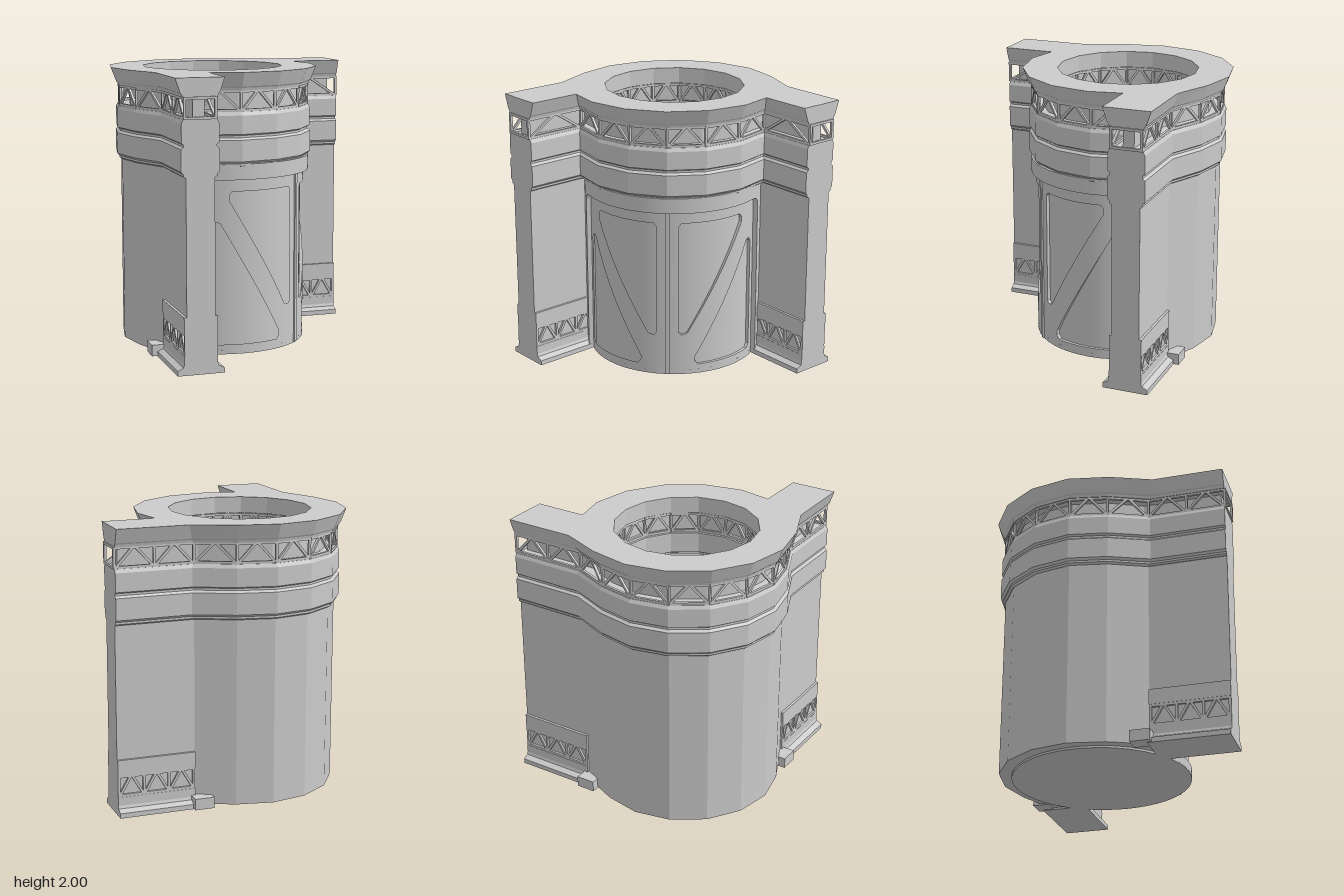
import * as THREE from 'three';
import { mergeGeometries } from 'three/addons/utils/BufferGeometryUtils.js';

const flat = new THREE.MeshStandardMaterial({ color: 0xcccccc, flatShading: true, side: THREE.DoubleSide });
const smooth = new THREE.MeshStandardMaterial({ color: 0xcccccc });
const C = -0.165;      // tower centre on x and z
const D = -0.135;      // door cylinder centre on x and z
const DOOR_R = 0.63;
const ARM = 0.41;      // distance from tower centre to arm centre line
const rad = THREE.MathUtils.degToRad;

function add(parent, geometry, name, material = flat) {
  const mesh = new THREE.Mesh(geometry, material);
  mesh.name = name;
  parent.add(mesh);
  return mesh;
}

const polar = (r, deg, c = C) => [c + r * Math.cos(rad(deg)), c + r * Math.sin(rad(deg))];

// Plan of the tower with its two arms, grown by an offset; front is the stretch facing the door
function outline(off, front) {
  const R = 0.68 + 1.1 * off, h = 0.1 + off;
  const E = (off < -0.03 ? 0.88 : 0.92);
  const inn = C - ARM + h, out = C - ARM - h;
  const kink = C + 0.448 + 0.77 * h;
  const q = C + R - 0.199 * (ARM - h);
  if (!front) {
    front = [[q, inn]];
    for (let k = 0; k <= 4; k++) front.push(polar(R, k * 22.5));
    front.push([inn, q]);
  }
  const back = [];
  for (let k = 7; k <= 13; k++) back.push(polar(R, k * 22.5));
  return [[E, inn], ...front, [inn, E], [out, E], [out, kink], ...back, [kink, out], [E, out]];
}

const planShape = pts => new THREE.Shape(pts.map(([x, z]) => new THREE.Vector2(x, -z)));

// Skin through the plan at each [height, offset]
function loft(profile) {
  const rings = profile.map(([y, off]) => outline(off).map(([x, z]) => [x, y, z]));
  const pos = [];
  for (let j = 0; j < rings.length - 1; j++) {
    const a = rings[j], b = rings[j + 1], n = a.length;
    for (let i = 0; i < n; i++) {
      const k = (i + 1) % n;
      pos.push(...a[i], ...b[i], ...a[k], ...b[i], ...b[k], ...a[k]);
    }
  }
  const g = new THREE.BufferGeometry();
  g.setAttribute('position', new THREE.Float32BufferAttribute(pos, 3));
  g.computeVertexNormals();
  return g;
}

// Flat ring closing the crown at one height
function cap(off, y, holeR) {
  const s = planShape(outline(off));
  const ring = [];
  for (let k = 0; k < 16; k++) ring.push(polar(holeR, k * 22.5));
  s.holes.push(planShape(ring));
  return new THREE.ShapeGeometry(s).rotateX(-Math.PI / 2).translate(0, y, 0);
}

function bar(p, q, t) {
  const o = new THREE.Object3D();
  o.position.copy(p).add(q).multiplyScalar(0.5);
  o.lookAt(q);
  o.updateMatrix();
  return new THREE.BoxGeometry(t, t, p.distanceTo(q)).applyMatrix4(o.matrix);
}

// Lattice along a plan path: posts, and pairs of diagonals in each cell
function truss(path, y0, y1, cell, closed, t = 0.018) {
  const parts = [], n = path.length;
  for (let i = 0; i < (closed ? n : n - 1); i++) {
    const [ax, az] = path[i], [bx, bz] = path[(i + 1) % n];
    const at = (f, y) => new THREE.Vector3(ax + (bx - ax) * f, y, az + (bz - az) * f);
    const cells = Math.floor(Math.hypot(bx - ax, bz - az) / cell);
    parts.push(bar(at(0, y0), at(0, y1), t));
    for (const y of [y0 + t / 2, y1 - t / 2]) parts.push(bar(at(0, y), at(1, y), t));
    for (let k = 0; k < cells; k++) {
      const f0 = k / cells, fm = (k + 0.5) / cells, f1 = (k + 1) / cells;
      parts.push(bar(at(f0, y0), at(fm, y1), t), bar(at(fm, y1), at(f1, y0), t));
      parts.push(bar(at(f1, y0), at(f1, y1), t));
    }
  }
  return mergeGeometries(parts);
}

// Extrude a flat shape and bend it round the door cylinder, splitting wide triangles first
function wrap(shape, r0, r1) {
  const src = new THREE.ExtrudeGeometry(shape, { depth: r1 - r0, bevelEnabled: false, curveSegments: 5 });
  const p = src.attributes.position, pos = [], nor = [];
  const emit = (tri, n) => {
    for (const v of tri) {
      const a = Math.PI / 4 - v.x / DOOR_R, c = Math.cos(a), s = Math.sin(a), r = r0 + v.z;
      pos.push(D + r * c, v.y, D + r * s);
      nor.push(n.z * c + n.x * s, n.y, n.z * s - n.x * c);
    }
  };
  const split = (a, b, c, n) => {
    const w = [Math.abs(a.x - b.x), Math.abs(b.x - c.x), Math.abs(c.x - a.x)];
    const m = Math.max(...w);
    if (m < 0.09) return emit([a, b, c], n);
    if (w[1] === m) [a, b, c] = [b, c, a];
    else if (w[2] === m) [a, b, c] = [c, a, b];
    const mid = a.clone().add(b).multiplyScalar(0.5);
    split(a, mid, c, n);
    split(mid, b, c, n);
  };
  for (let i = 0; i < p.count; i += 3) {
    const [a, b, c] = [0, 1, 2].map(k => new THREE.Vector3().fromBufferAttribute(p, i + k));
    split(a, b, c, new THREE.Triangle(a, b, c).getNormal(new THREE.Vector3()));
  }
  const g = new THREE.BufferGeometry();
  g.setAttribute('position', new THREE.Float32BufferAttribute(pos, 3));
  g.setAttribute('normal', new THREE.Float32BufferAttribute(nor, 3));
  return g;
}

const poly = (pts, sx = 1) => new THREE.Shape(pts.map(([x, y]) => new THREE.Vector2(x * sx, y)));

// Plinth, rails and lattice at the foot of one arm, built along +x
function armBase(side) {
  const g = new THREE.Group();
  g.name = 'armBase';
  const half = [[0.165, 0], [0.165, 0.035], [0.125, 0.055], [0.118, 0.075]];
  const section = poly([...half, ...half.map(([x, y]) => [-x, y]).reverse()]);
  const run = (geo, name) => add(g, geo, name);
  run(new THREE.ExtrudeGeometry(section, { depth: 0.56, bevelEnabled: false })
    .rotateY(Math.PI / 2).translate(0.36, 0, 0), 'plinth');
  for (const [y0, y1] of [[0.07, 0.135], [0.29, 0.4]])
    run(new THREE.BoxGeometry(0.56, y1 - y0, 0.236).translate(0.64, (y0 + y1) / 2, 0), 'baseRail');
  for (const s of [-1, 1])
    run(truss([[0.37, s * 0.107], [0.911, s * 0.107]], 0.135, 0.29, 0.18, false), 'baseLattice');
  run(new THREE.BoxGeometry(0.14, 0.08, 0.12).translate(0.32, 0.045, side * 0.145), 'plinthFoot');
  return g;
}

export function createModel() {
  const root = new THREE.Group();
  root.name = 'cornerTower';

  // Lower walls: a C-shaped plan left open at the doorway
  const inside = [[0.335, C - 0.31]];
  for (let a = -36; a >= -234; a -= 11) inside.push(polar(0.475, a, D));
  inside.push([C - 0.31, 0.335]);
  add(root, new THREE.ExtrudeGeometry(planShape(outline(0, inside)), { depth: 1.335, bevelEnabled: false })
    .rotateX(-Math.PI / 2).translate(0, 0.015, 0), 'lowerWall');
  add(root, new THREE.CylinderGeometry(DOOR_R, DOOR_R, 0.03, 48).translate(D, 0.015, D), 'floor', smooth);

  // Crown: bands, grooves, lattice recess and flared cornice
  add(root, loft([
    [1.34, 0.005], [1.35, 0.018], [1.365, 0.018], [1.38, 0.033], [1.53, 0.033], [1.545, 0.015],
    [1.56, 0.015], [1.57, 0.03], [1.70, 0.03], [1.725, 0.018], [1.73, -0.06], [1.87, -0.06],
    [1.872, 0.02], [1.89, 0.025], [1.9, 0.035], [2, 0.07],
  ]), 'crown');
  add(root, cap(0.07, 2, 0.507), 'crownTop');
  add(root, cap(0.005, 1.34, 0.507), 'crownUnderside');
  const well = [[0.507, 2], [0.507, 1.88], [0.57, 1.87], [0.57, 1.73], [0.507, 1.72], [0.507, 1.57],
    [0.525, 1.56], [0.525, 1.545], [0.507, 1.535], [0.507, 1.34]];
  add(root, new THREE.LatheGeometry(well.map(([r, y]) => new THREE.Vector2(r, y)), 16)
    .translate(C, 0, C), 'wellLining');

  // Lattices round the outside and inside of the crown
  add(root, truss(outline(0.007), 1.725, 1.875, 0.23, true), 'outerLattice');
  const ring = [];
  for (let k = 0; k < 16; k++) ring.push(polar(0.525, k * 22.5));
  add(root, truss(ring, 1.725, 1.875, 0.19, true), 'innerLattice');

  // Arm bases
  const baseX = armBase(-1);
  baseX.position.z = C - ARM;
  const baseZ = armBase(1);
  baseZ.position.x = C - ARM;
  baseZ.rotation.y = -Math.PI / 2;
  root.add(baseX, baseZ);

  // Door frame with rounded upper corners
  const W = 0.858, w = 0.77, top = 1.25, f = 0.07;
  const arch = new THREE.Shape();
  arch.moveTo(-W, 0.01).lineTo(-w, 0.01).lineTo(-w, top - f);
  arch.quadraticCurveTo(-w, top, -w + f, top).lineTo(w - f, top);
  arch.quadraticCurveTo(w, top, w, top - f).lineTo(w, 0.01);
  arch.lineTo(W, 0.01).lineTo(W, 1.36).lineTo(-W, 1.36);
  add(root, wrap(arch, 0.476, 0.665), 'doorFrame', smooth);

  // Door: backing, two leaves with triangular recesses, centre strip
  add(root, wrap(poly([[-w, 0.005], [w, 0.005], [w, top], [-w, top]]), 0.476, 0.608), 'doorBacking', smooth);
  const upper = [[0.08, 0.33], [0.1, 0.31], [0.142, 0.32], [0.6, 1.1], [0.6, 1.14], [0.58, 1.165],
    [0.1, 1.165], [0.08, 1.14]];
  const lower = [[0.2, 0.13], [0.2, 0.1], [0.225, 0.07], [0.7, 0.07], [0.725, 0.1], [0.725, 0.92],
    [0.7, 0.95], [0.665, 0.94]];
  for (const s of [-1, 1]) {
    const leaf = poly([[0.006, 0.005], [w, 0.005], [w, top], [0.006, top]], s);
    leaf.holes.push(poly(upper, s), poly(lower, s));
    add(root, wrap(leaf, 0.605, DOOR_R), s < 0 ? 'leftDoorLeaf' : 'rightDoorLeaf', smooth);
  }
  add(root, wrap(poly([[-0.015, 0.005], [0.015, 0.005], [0.015, top], [-0.015, top]]), 0.6, 0.64), 'doorSeam', smooth);

  return root;
}
